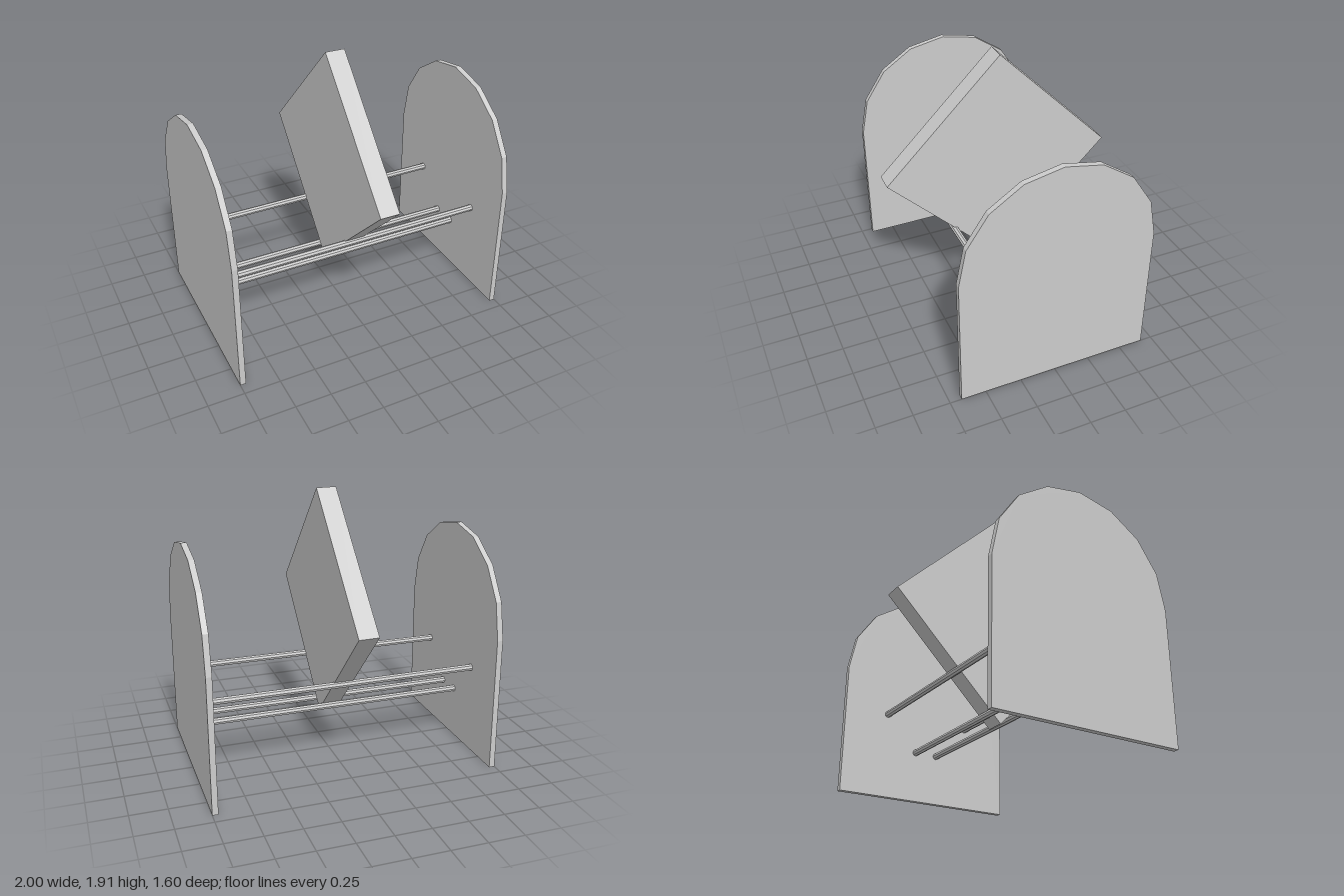
import * as THREE from 'three';

export function createModel() {
  const model = new THREE.Group();
  const grey = new THREE.MeshStandardMaterial({ color: 0xcccccc, flatShading: true });
  grey.name = 'light grey';

  const add = (name, geometry) => {
    const mesh = new THREE.Mesh(geometry, grey);
    mesh.name = name;
    model.add(mesh);
    return mesh;
  };

  // Arched end panels: straight sides with an eight-segment half circle on top
  const radius = 0.67, springY = 0.936, thickness = 0.04;
  const outline = [new THREE.Vector2(-radius, 0), new THREE.Vector2(radius, 0)];
  for (let i = 0; i <= 8; i++) {
    const a = (i / 8) * Math.PI;
    outline.push(new THREE.Vector2(radius * Math.cos(a), springY + radius * Math.sin(a)));
  }
  const panel = new THREE.ExtrudeGeometry(new THREE.Shape(outline), { depth: thickness, bevelEnabled: false });
  panel.translate(0, 0, -thickness / 2).rotateY(Math.PI / 2);
  add('leftEndPanel', panel).position.x = 0.98;
  add('rightEndPanel', panel).position.x = -0.98;

  // Four rods forming a V-shaped cradle
  const rod = new THREE.CylinderGeometry(0.024, 0.024, 1.92, 8).rotateZ(Math.PI / 2);
  for (const [level, y, z] of [['upper', 0.625, 0.331], ['lower', 0.367, 0.086]]) {
    add(level + 'FrontRod', rod).position.set(0, y, z);
    add(level + 'BackRod', rod).position.set(0, y, -z);
  }

  // Square book standing on its corner, leaning very slightly sideways
  const book = add('book', new THREE.BoxGeometry(0.137, 1.131, 1.131).rotateX(Math.PI / 4));
  book.position.set(0.007, 1.11, 0);
  book.rotation.z = -0.01;

  return model;
}
